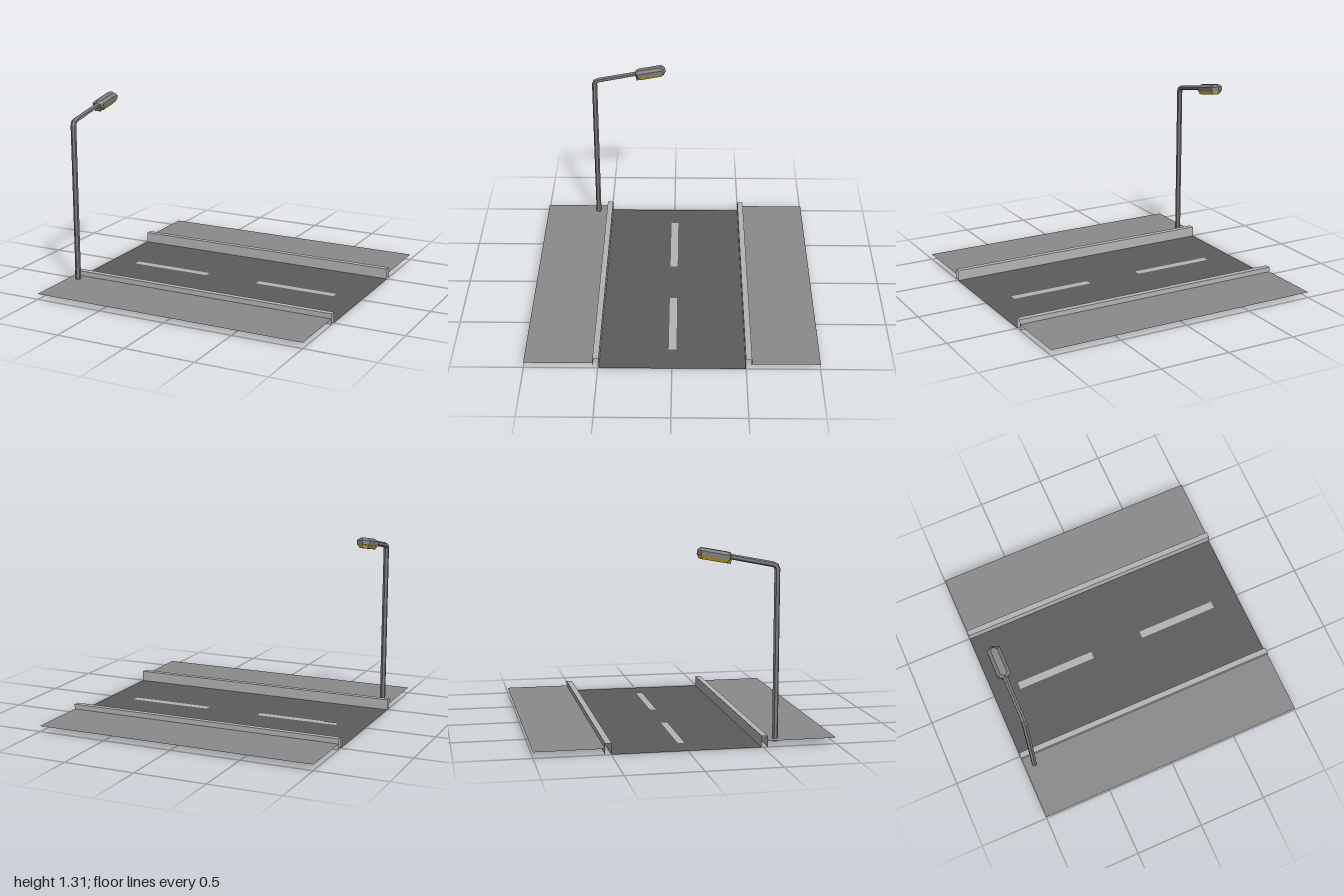
import * as THREE from 'three';

const mat = (name, color) => {
  const m = new THREE.MeshStandardMaterial({ color, side: THREE.DoubleSide, flatShading: true });
  m.name = name;
  return m;
};

// Joins rings of points (counter-clockwise from above, listed bottom to top)
function loft(rings, capBottom, capTop) {
  const pos = [];
  const n = rings[0].length;
  const tri = (a, b, c) => pos.push(...a, ...b, ...c);
  for (let i = 0; i < rings.length - 1; i++) {
    for (let j = 0; j < n; j++) {
      const k = (j + 1) % n;
      const lo = rings[i], hi = rings[i + 1];
      tri(lo[j], lo[k], hi[j]);
      tri(lo[k], hi[k], hi[j]);
    }
  }
  const first = rings[0], last = rings[rings.length - 1];
  for (let j = 1; j < n - 1; j++) {
    if (capBottom) tri(first[0], first[j + 1], first[j]);
    if (capTop) tri(last[0], last[j], last[j + 1]);
  }
  const g = new THREE.BufferGeometry();
  g.setAttribute('position', new THREE.Float32BufferAttribute(pos, 3));
  g.computeVertexNormals();
  return g;
}

export function createModel() {
  const group = new THREE.Group();
  const asphalt = mat('asphalt', 0x5c5c5c);
  const paving = mat('paving', 0x8a8a8a);
  const paleStone = mat('pale stone', 0xb4b4b4);
  const metal = mat('lamp metal', 0x7c7c7c);
  const glow = mat('lamp yellow', 0xe8c830);

  const add = (name, geometry, material, parent = group) => {
    const mesh = new THREE.Mesh(geometry, material);
    mesh.name = name;
    parent.add(mesh);
    return mesh;
  };
  // Flat sheet facing up
  const sheet = (name, x0, x1, z0, z1, y, material) => {
    const g = new THREE.PlaneGeometry(x1 - x0, z1 - z0).rotateX(-Math.PI / 2);
    add(name, g, material).position.set((x0 + x1) / 2, y, (z0 + z1) / 2);
  };

  // Road, with raised pavements beside it
  sheet('road', -1, 1, -0.497, 0.492, 0, asphalt);
  sheet('backPavement', -1, 1, -1, -0.539, 0.04, paving);
  sheet('frontPavement', -1, 1, 0.534, 1, 0.04, paving);

  // Centre line dashes
  sheet('rightDash', -0.8, -0.2, -0.029, 0.024, 0.003, paleStone);
  sheet('leftDash', 0.2, 0.8, -0.029, 0.024, 0.003, paleStone);

  // Hollow kerbs: a top and two walls, open at the ends and below
  const kerbHeight = 0.075;
  for (const [name, z0, z1] of [['backKerb', -0.539, -0.497], ['frontKerb', 0.492, 0.534]]) {
    sheet(name + 'Top', -1, 1, z0, z1, kerbHeight, paleStone);
    for (const [z, turn] of [[z0, Math.PI], [z1, 0]]) {
      const g = new THREE.PlaneGeometry(2, kerbHeight).rotateY(turn);
      add(name + 'Wall', g, paleStone).position.set(0, kerbHeight / 2, z);
    }
  }

  // Street lamp
  const lamp = new THREE.Group();
  lamp.name = 'streetLamp';
  lamp.position.x = -0.927;
  group.add(lamp);

  // Six-sided pole bending into the arm: height, z, lean in degrees, radius
  const path = [
    [0.02, 0.602, 0, 0.0195],
    [1.16, 0.602, 0, 0.0195],
    [1.181, 0.594, 40, 0.0195],
    [1.191, 0.572, 79, 0.0185],
    [1.25, 0.27, 79, 0.0175],
  ];
  const poleRings = path.map(([y, z, lean, r]) => {
    const t = THREE.MathUtils.degToRad(lean);
    return Array.from({ length: 6 }, (_, j) => {
      const a = (j * Math.PI) / 3;
      const v = r * Math.cos(a);
      return [r * Math.sin(a), y + v * Math.sin(t), z + v * Math.cos(t)];
    });
  });
  add('poleAndArm', loft(poleRings, false, false), metal, lamp);

  // Lamp head: a pointed plan stacked in scaled layers, tilted with the arm
  const head = new THREE.Group();
  head.name = 'lampHead';
  head.position.set(0, 1.257, 0.184);
  head.rotation.x = THREE.MathUtils.degToRad(10.5);
  lamp.add(head);

  const plan = [[0, 0.116], [0.045, 0.095], [0.045, -0.095], [0, -0.116], [-0.045, -0.095], [-0.045, 0.095]];
  const layer = (y, sx, sz) => plan.map(([x, z]) => [x * sx, y, z * sz]);
  add('lampCover', loft([layer(-0.012, 1, 1), layer(0.018, 1, 1), layer(0.036, 0.5, 0.88)], true, true), metal, head);
  add('lampGlass', loft([layer(-0.036, 0.62, 0.84), layer(-0.012, 0.97, 0.98)], true, false), glow, head);

  // Collar where the arm enters the head
  add('armCollar', new THREE.BoxGeometry(0.046, 0.044, 0.022), metal, head).position.set(0, -0.014, 0.1);

  return group;
}
